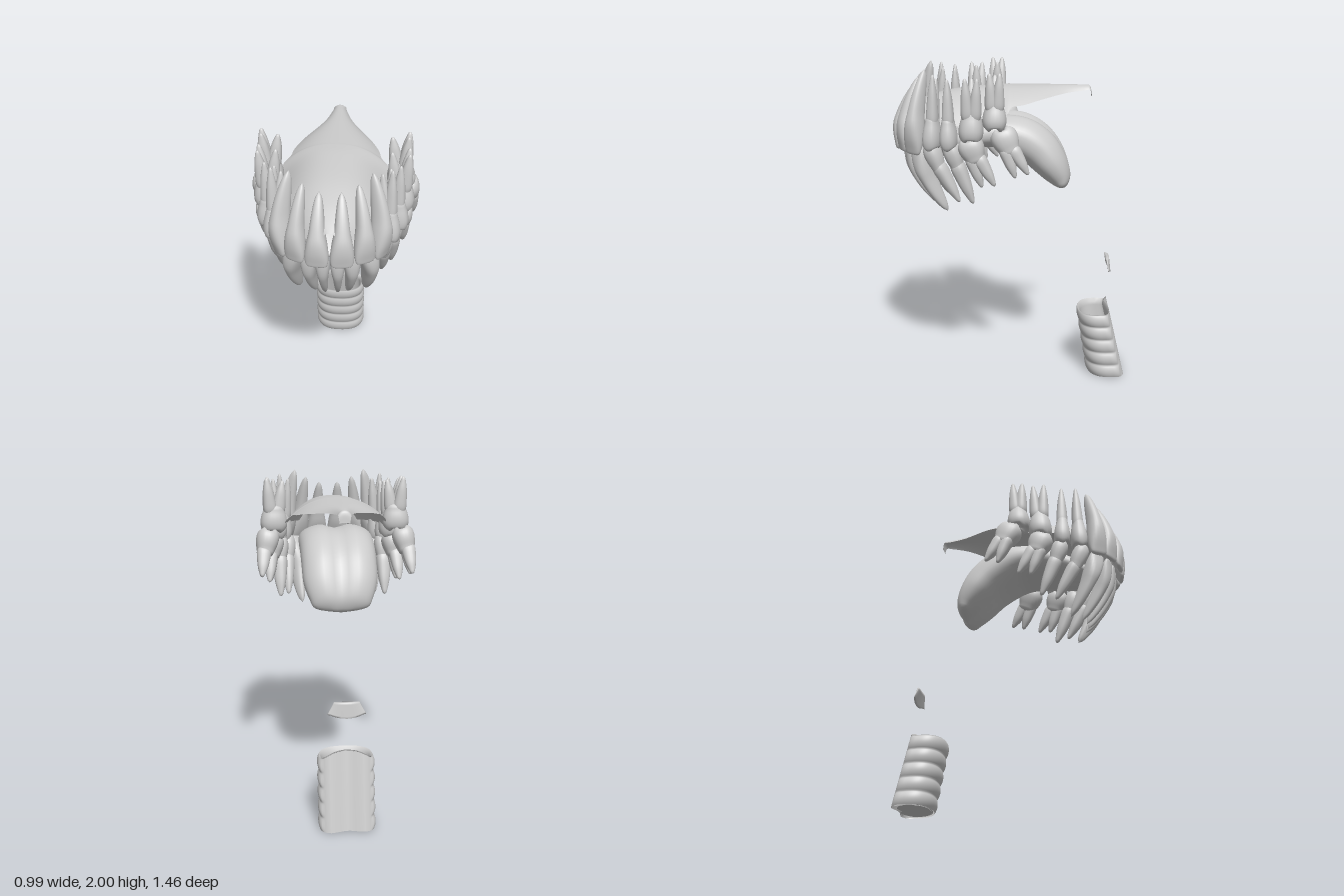
import * as THREE from 'three';
import { mergeVertices } from 'three/addons/utils/BufferGeometryUtils.js';

const V = (x, y, z) => new THREE.Vector3(x, y, z);
const lerp = THREE.MathUtils.lerp;
const spow = (c, e) => Math.sign(c) * Math.abs(c) ** e;

// Smooth interpolation through rows of numbers, t in 0..1
function sample(rows, t) {
  const f = t * (rows.length - 1), i = Math.min(Math.floor(f), rows.length - 2), k = f - i;
  const at = (n) => rows[THREE.MathUtils.clamp(n, 0, rows.length - 1)];
  const [a, b, c, d] = [at(i - 1), at(i), at(i + 1), at(i + 2)];
  return b.map((p, n) => p + 0.5 * k * (c[n] - a[n] + k * (2 * a[n] - 5 * p + 4 * c[n] - d[n] + k * (3 * (p - c[n]) + d[n] - a[n]))));
}

// Smooth surface from a rule (u, v) -> point; faces are turned outward
function surface(rule, nu, nv) {
  const pos = [], idx = [];
  for (let j = 0; j <= nv; j++)
    for (let i = 0; i <= nu; i++) pos.push(...rule(i / nu, j / nv).toArray());
  for (let j = 0; j < nv; j++)
    for (let i = 0; i < nu; i++) {
      const a = j * (nu + 1) + i, b = a + nu + 1;
      idx.push(a, a + 1, b, a + 1, b + 1, b);
    }
  const p = (n) => V().fromArray(pos, n * 3), mid = p(0);
  let volume = 0;
  for (let n = 0; n < idx.length; n += 3)
    volume += p(idx[n]).sub(mid).dot(p(idx[n + 1]).sub(mid).cross(p(idx[n + 2]).sub(mid)));
  if (volume < 0) idx.reverse();
  let g = new THREE.BufferGeometry();
  g.setAttribute('position', new THREE.Float32BufferAttribute(pos, 3));
  g.setIndex(idx);
  g = mergeVertices(g, 1e-5);
  g.computeVertexNormals();
  return g;
}

// Lofted body along a line; rows are [t, width, depth] scales
function loft(from, to, along, w, d, rows, bow = 0, cusp = 0, cusps = 4) {
  const axis = to.clone().sub(from).normalize();
  const side = along.clone().addScaledVector(axis, -along.dot(axis)).normalize();
  const out = side.clone().cross(axis).normalize();
  const outward = V(from.x, 0, from.z);
  if (out.dot(outward) < 0) out.negate();
  return surface((u, v) => {
    const [t, sw, sd] = sample(rows, v), a = u * Math.PI * 2;
    const rise = v < 0.4 ? -cusp * Math.cos(cusps * (a - Math.PI / cusps * (cusps === 4 ? 1 : 0.0) - (cusps === 2 ? Math.PI / 2 : 0))) * Math.sin(v / 0.4 * Math.PI) : 0;
    return from.clone().lerp(to, t).addScaledVector(axis, rise)
      .addScaledVector(side, spow(Math.cos(a), 0.85) * w * sw)
      .addScaledVector(out, spow(Math.sin(a), 0.85) * d * sd + bow * Math.sin(Math.PI * Math.min(1, t)));
  }, 24, 24);
}

const FRONT_TOOTH = [[0, 0, 0], [0, 0.72, 0.22], [0.06, 0.96, 0.42], [0.18, 1, 0.78], [0.33, 0.87, 1], [0.48, 0.68, 0.92],
  [0.65, 0.56, 0.78], [0.8, 0.44, 0.6], [0.93, 0.27, 0.35], [1, 0, 0]];
const CROWN = [[0.16, 0, 0], [0.12, 0.3, 0.3], [0.03, 0.62, 0.62], [0.1, 0.88, 0.88], [0.35, 1, 1], [0.65, 0.95, 0.95],
  [0.95, 0.78, 0.8], [1.2, 0.62, 0.62], [1.35, 0, 0]];
const ROOT = [[0, 0.8, 0.8], [0.15, 1, 1], [0.4, 0.9, 0.9], [0.65, 0.72, 0.72], [0.85, 0.45, 0.45], [0.96, 0.25, 0.25], [1, 0, 0]];

// Front teeth: name, biting edge, root tip, arch angle, half width, half depth
const FRONT = [
  ['upperCentralIncisor', [0.07, 1.505, 0.69], [0.06, 1.91, 0.56], 8, 0.066, 0.052],
  ['upperLateralIncisor', [0.195, 1.51, 0.645], [0.15, 1.95, 0.54], 28, 0.062, 0.052],
  ['upperCanine', [0.285, 1.505, 0.575], [0.225, 2.0, 0.5], 54, 0.06, 0.062],
  ['lowerCentralIncisor', [0.042, 1.54, 0.645], [0.035, 1.15, 0.46], 5, 0.04, 0.045],
  ['lowerLateralIncisor', [0.125, 1.54, 0.625], [0.09, 1.15, 0.44], 20, 0.046, 0.048],
  ['lowerCanine', [0.215, 1.545, 0.565], [0.19, 1.13, 0.38], 45, 0.056, 0.06],
];
// Back teeth: name, biting centre, crown base, arch angle, half width, half depth, root radius, root tips
const BACK = [
  ['upperFirstPremolar', [0.32, 1.54, 0.46], [0.315, 1.7, 0.452], 66, 0.05, 0.066, 0.034, [[0.33, 1.98, 0.445], [0.275, 1.95, 0.43]]],
  ['upperSecondPremolar', [0.36, 1.55, 0.355], [0.357, 1.7, 0.357], 78, 0.05, 0.07, 0.034, [[0.375, 1.96, 0.36], [0.32, 1.94, 0.36]]],
  ['upperFirstMolar', [0.378, 1.6, 0.225], [0.378, 1.75, 0.22], 86, 0.072, 0.083, 0.037, [[0.425, 1.97, 0.255], [0.425, 1.97, 0.185], [0.325, 1.96, 0.22]]],
  ['upperSecondMolar', [0.385, 1.67, 0.09], [0.38, 1.8, 0.085], 95, 0.07, 0.083, 0.037, [[0.42, 2, 0.115], [0.425, 2, 0.055], [0.325, 1.98, 0.085]]],
  ['lowerFirstPremolar', [0.285, 1.56, 0.475], [0.288, 1.43, 0.425], 62, 0.05, 0.056, 0.042, [[0.285, 1.21, 0.3]]],
  ['lowerSecondPremolar', [0.34, 1.575, 0.35], [0.342, 1.45, 0.31], 75, 0.052, 0.058, 0.044, [[0.34, 1.215, 0.215]]],
  ['lowerFirstMolar', [0.38, 1.61, 0.24], [0.395, 1.5, 0.2], 84, 0.076, 0.07, 0.04, [[0.405, 1.33, 0.16], [0.415, 1.34, 0.085]]],
  ['lowerSecondMolar', [0.415, 1.675, 0.05], [0.44, 1.56, 0.0], 92, 0.08, 0.07, 0.04, [[0.465, 1.4, -0.035], [0.465, 1.42, -0.11]]],
];

export function createModel() {
  const model = new THREE.Group();
  const grey = new THREE.MeshStandardMaterial({ color: 0xcccccc, side: THREE.DoubleSide });
  grey.name = 'pale grey';
  const add = (name, geometry, parent = model) => {
    const m = new THREE.Mesh(geometry, grey);
    m.name = name;
    parent.add(m);
  };

  // Teeth, built on both sides of the arch
  for (const s of [1, -1]) {
    const prefix = s > 0 ? 'left ' : 'right ';
    const pt = (p) => V(p[0] * s, p[1], p[2]);
    const tangent = (deg) => V(Math.cos(deg * Math.PI / 180) * s, 0, -Math.sin(deg * Math.PI / 180));
    for (const [name, edge, tip, deg, w, d] of FRONT)
      add(prefix + name, loft(pt(edge), pt(tip), tangent(deg), w, d, FRONT_TOOTH, 0.02));
    for (const [name, top, base, deg, w, d, r, tips] of BACK) {
      const tooth = new THREE.Group();
      tooth.name = prefix + name;
      const molar = name.includes('Molar');
      add('crown', loft(pt(top), pt(base), tangent(deg), w, d, CROWN, 0, 0.014, molar ? 4 : 2), tooth);
      for (const tip of tips) {
        const start = pt(base).lerp(pt(tip), 0.02);
        if (tips.length > 1) { // roots spread from their own corner of the crown
          start.x = lerp(start.x, tip[0] * s, 0.55);
          if (molar) start.z += (tip[2] - tips.reduce((q, t) => q + t[2], 0) / tips.length) * 0.7;
        }
        start.lerp(pt(top), 0.2);
        add('root', loft(start, pt(tip), tangent(deg), r, r * 1.1, ROOT), tooth);
      }
      model.add(tooth);
    }
  }

  // Palate: arched sheet, rows are [z, half width, centre height, edge height]
  const palate = [[-0.5, 0.03, 1.81, 1.805], [-0.49, 0.038, 1.87, 1.85], [-0.45, 0.045, 1.878, 1.848], [-0.33, 0.09, 1.88, 1.837],
    [-0.17, 0.2, 1.88, 1.81], [-0.08, 0.25, 1.88, 1.79], [-0.01, 0.268, 1.88, 1.78], [0.02, 0.31, 1.88, 1.74], [0.12, 0.315, 1.875, 1.69],
    [0.35, 0.3, 1.85, 1.67], [0.5, 0.24, 1.81, 1.66], [0.6, 0.17, 1.765, 1.65], [0.68, 0.06, 1.72, 1.65]];
  add('palate', surface((u, v) => {
    const [z, w, yc, ye] = sample(palate, v), k = u * 2 - 1;
    return V(k * w, lerp(yc, ye, Math.abs(k) ** 2.4), z);
  }, 24, 60));

  // Tongue: rows are [z, y, half width, half thickness], tip to root
  const tongue = [[0.54, 1.47, 0, 0], [0.52, 1.475, 0.09, 0.025], [0.42, 1.52, 0.17, 0.055], [0.25, 1.58, 0.215, 0.085],
    [0.08, 1.605, 0.23, 0.105], [-0.06, 1.575, 0.23, 0.13], [-0.17, 1.505, 0.228, 0.13], [-0.25, 1.41, 0.222, 0.112],
    [-0.305, 1.32, 0.19, 0.08], [-0.32, 1.265, 0.15, 0.04], [-0.32, 1.24, 0, 0]];
  add('tongue', surface((u, v) => {
    const [z, y, w, t] = sample(tongue, v), a = u * Math.PI * 2;
    const p = sample(tongue, Math.max(0, v - 0.06)), q = sample(tongue, Math.min(1, v + 0.06));
    const slope = Math.atan2(p[1] - q[1], p[0] - q[0]);
    const c = Math.cos(a), up = spow(Math.sin(a), 0.9);
    const h = t * up * (1 - 0.28 * Math.exp(-30 * c * c) * (up > 0 ? 1 : 0.6));
    return V(w * spow(c, 0.8), y + h * Math.cos(slope), z - h * Math.sin(slope));
  }, 48, 48));

  // Windpipe: ringed D-shaped tube with a grooved flat back and an inner wall
  add('windpipe', surface((u, v) => {
    const a = u * Math.PI * 2, c = Math.cos(a), s = Math.sin(a), inner = v > 0.75;
    const k = inner ? 1 - (v - 0.75) / 0.25 : v / 0.75;
    const rim = 0.43 + (s < 0 ? 0.045 * s * s * s * s * (1 - 0.3 * c * c) : 0);
    const y = Math.max(0, k * rim);
    const ringed = 0.94 + 0.09 * Math.abs(Math.sin((y + 0.005) / 0.087 * Math.PI)) ** 0.7;
    const scale = inner ? 0.86 : s > -0.6 ? ringed : 0.97;
    const front = -0.505 + 0.17 * y, back = -0.745 + 0.235 * y, mid = lerp(back, front, 0.4);
    const x = 0.167 * scale * spow(c, s < 0 ? 0.55 : 0.85);
    const groove = s < 0 ? 0.03 * Math.max(0, 1 - Math.abs(x) / 0.1) : 0;
    const z = s >= 0 ? mid + (front - mid) * scale * spow(s, 0.85)
      : mid + (back - mid) * (inner ? 0.88 : 1) * Math.abs(s) ** 0.5 + groove;
    return V(x, y, z);
  }, 72, 80));
  const floor = new THREE.CircleGeometry(1, 32).rotateX(Math.PI / 2).scale(0.15, 1, 0.105).translate(0, 0.004, -0.622);
  add('windpipeFloor', floor);

  // Small cartilage plate above the windpipe
  add('cartilagePlate', surface((u, v) => {
    const a = u * Math.PI * 2, k = Math.min(1, Math.max(0, (v - 0.1) / 0.8));
    const size = v === 0 || v === 1 ? 0 : 1;
    const x = lerp(0.115, 0.076, k) * spow(Math.cos(a), 0.7) * size;
    const y = lerp(0.685 + 0.02 * Math.min(1, (x / 0.1) ** 2), 0.778, k);
    const z = lerp(-0.64, -0.622, k) + 1.2 * x * x + lerp(0.006, 0.013, k) * Math.sin(a) * size;
    return V(x, y, z);
  }, 32, 10));

  return model;
}
